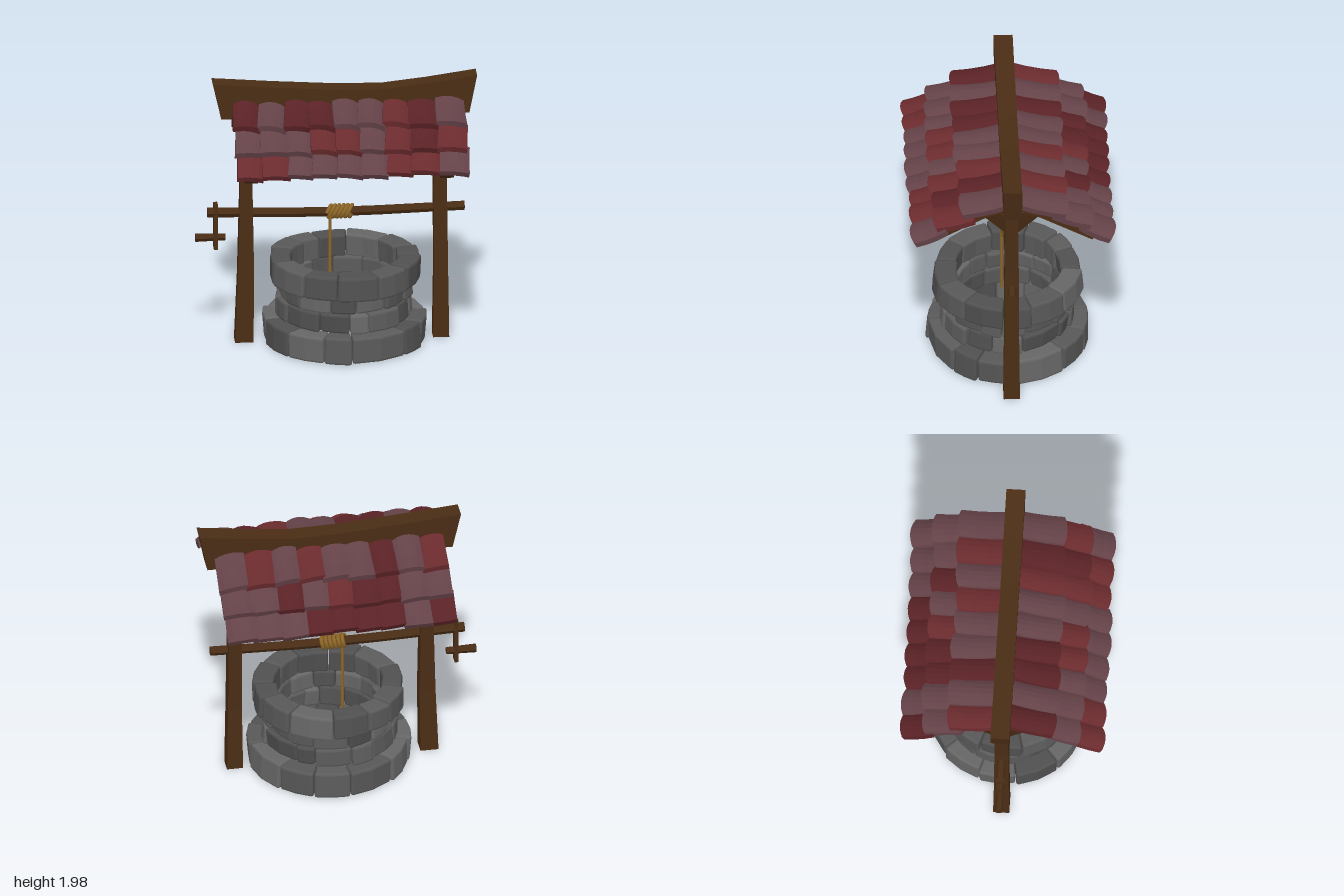
import * as THREE from 'three';

const mat = (color) => new THREE.MeshStandardMaterial({ color, flatShading: true, roughness: 0.9 });
const wood = mat(0x4a2d15), darkWood = mat(0x412612), rope = mat(0x8f6828);
rope.flatShading = false;
const stones = [0x5c5c5c, 0x666666, 0x505050, 0x585858].map(mat);
const tiles = [0x5a2226, 0x6b2b2e, 0x644248].map(mat);

let seed = 7;
const rnd = () => (seed = (seed * 16807) % 2147483647) / 2147483647;
const jit = (a) => (rnd() * 2 - 1) * a;
const pick = (list) => list[Math.floor(rnd() * list.length)];

function add(parent, name, geo, material) {
  const m = new THREE.Mesh(geo, material);
  m.name = name;
  parent.add(m);
  return m;
}

// Move every vertex of a geometry by a rule
function warp(geo, rule) {
  const p = geo.attributes.position, v = new THREE.Vector3();
  for (let i = 0; i < p.count; i++) {
    rule(v.fromBufferAttribute(p, i));
    p.setXYZ(i, v.x, v.y, v.z);
  }
  geo.computeVertexNormals();
  return geo;
}

function plank(points, depth) {
  const shape = new THREE.Shape(points.map(([a, b]) => new THREE.Vector2(a, b)));
  return new THREE.ExtrudeGeometry(shape, { depth, bevelEnabled: false }).translate(0, 0, -depth / 2);
}

// Chamfered block bent around the well's axis
function stoneBlock(a0, a1, r0, r1, y0, y1) {
  const c = 0.016, lean = jit(0.012), bulge = jit(0.01);
  const half = new THREE.Vector3((a1 - a0) * (r0 + r1) / 4, (y1 - y0) / 2, (r1 - r0) / 2);
  const inner = half.clone().subScalar(c), d = new THREE.Vector3();
  const grid = (t, h) => (Math.abs(t) > 0.49 ? Math.sign(t) * h : Math.abs(t) < 0.1 ? 0 : Math.sign(t) * (h - c));
  return warp(new THREE.BoxGeometry(1, 1, 1, 4, 4, 4), (v) => {
    v.set(grid(v.x, half.x), grid(v.y, half.y), grid(v.z, half.z));
    d.copy(v);
    v.clamp(inner.clone().negate(), inner);
    d.sub(v);
    if (d.lengthSq() > 0) v.add(d.setLength(c));
    const ang = (a0 + a1) / 2 + (v.x / half.x) * (a1 - a0) / 2;
    const r = (r0 + r1) / 2 + v.z + lean * v.x / half.x + bulge * v.y / half.y;
    v.set(Math.sin(ang) * r, (y0 + y1) / 2 + v.y, Math.cos(ang) * r);
  });
}

function buildWell() {
  const well = new THREE.Group();
  well.name = 'stoneWell';
  well.position.x = 0.06;
  // inner radius, outer radius, bottom, top, count, start angle
  const courses = [
    [0.41, 0.575, 0, 0.2, 12, 0.15],
    [0.36, 0.475, 0.195, 0.345, 13, 0.4],
    [0.365, 0.465, 0.34, 0.475, 14, 0.1],
    [0.38, 0.53, 0.46, 0.64, 12, 0.3],
  ];
  courses.forEach(([r0, r1, y0, y1, n, start], k) => {
    const cuts = [];
    for (let i = 0; i < n; i++) cuts.push(start + (i + jit(0.24)) * 2 * Math.PI / n);
    cuts.push(cuts[0] + 2 * Math.PI);
    for (let i = 0; i < n; i++) {
      const top = y1 - rnd() * 0.008, out = r1 + jit(0.012);
      add(well, 'stoneCourse' + (k + 1), stoneBlock(cuts[i] + 0.006, cuts[i + 1] - 0.006, r0 + jit(0.008), out, y0, top), pick(stones));
    }
  });
  return well;
}

// Tapered, slightly bowed post; rows are [y, centre x, width, depth]
function post(rows) {
  return warp(new THREE.BoxGeometry(1, rows.length - 1, 1, 1, rows.length - 1, 1), (v) => {
    const [y, x, w, d] = rows[Math.round(v.y + (rows.length - 1) / 2)];
    v.set(x + v.x * w, y, v.z * d);
  });
}

function buildFrame() {
  const frame = new THREE.Group();
  frame.name = 'woodenFrame';
  add(frame, 'rightPost', post([[0, -0.655, 0.13, 0.115], [0.5, -0.642, 0.115, 0.105], [1.1, -0.64, 0.09, 0.1], [1.72, -0.645, 0.1, 0.085]]), wood);
  add(frame, 'leftPost', post([[0, 0.745, 0.115, 0.115], [0.5, 0.745, 0.1, 0.105], [1.1, 0.74, 0.095, 0.1], [1.72, 0.745, 0.1, 0.085]]), wood);

  // Sagging ridge beam with flared ends
  add(frame, 'ridgeBeam', plank([[-0.82, 1.7], [0.945, 1.7], [1, 1.98], [0.65, 1.93], [0.33, 1.895], [0, 1.9], [-0.45, 1.93], [-0.88, 1.965]], 0.135), wood);

  const rafter = [[0, 1.77], [0.3, 1.655], [0.61, 1.45], [0.57, 1.4], [0.2, 1.605], [0, 1.68]];
  const brace = [[0.03, 1.47], [0.05, 1.47], [0.2, 1.615], [0.15, 1.65], [0.03, 1.545]];
  for (const x of [-0.645, 0.745]) {
    for (const s of [1, -1]) {
      const side = (pts, w) => plank(pts.map(([z, y]) => [s * z, y]), w).rotateY(-Math.PI / 2).translate(x, 0, 0);
      add(frame, 'rafter', side(rafter, 0.1), wood);
      add(frame, 'brace', side(brace, 0.07), darkWood);
    }
  }
  for (const s of [1, -1]) {
    const p = add(frame, 'eavesBeam', new THREE.BoxGeometry(1.4, 0.05, 0.06), wood);
    p.position.set(0.05, 1.46, s * 0.545);
    p.rotation.x = s * 0.5;
  }
  return frame;
}

// Arched, skewed and tapered roof tile
function tileGeometry(w, l) {
  const t = 0.042, skew = 0.02 + jit(0.015), taper = 0.05 + jit(0.05), arch = 0.026 + jit(0.006), ragged = jit(0.012);
  return warp(new THREE.BoxGeometry(w, t, l, 5, 1, 3), (v) => {
    const u = 2 * v.x / w, q = v.z / l;
    v.y += arch * (1 - u * u) - 0.014 - 0.012 * (1 - 4 * q * q);
    v.x = v.x * (1 + taper * q) - skew * q;
    v.z += q * (ragged * u - 0.03 * u * u);
  });
}

function buildRoof() {
  const roof = new THREE.Group();
  roof.name = 'tiledRoof';
  const edges = [-0.74, -0.565, -0.375, -0.205, -0.03, 0.145, 0.325, 0.505, 0.7, 0.9];
  // upper z, upper y, lower z, lower y
  const rows = [[0.03, 1.805, 0.375, 1.73], [0.28, 1.7, 0.555, 1.605], [0.48, 1.6, 0.705, 1.485]];
  for (const s of [1, -1]) {
    rows.forEach(([z0, y0, z1, y1], r) => {
      for (let c = 0; c < 9; c++) {
        const w = edges[c + 1] - edges[c] + 0.012;
        const geo = tileGeometry(w, Math.hypot(z1 - z0, y1 - y0) + 0.02);
        if (s < 0) geo.rotateY(Math.PI);
        const t = add(roof, 'roofTileRow' + (r + 1), geo, pick(tiles));
        t.position.set((edges[c] + edges[c + 1]) / 2, (y0 + y1) / 2 + jit(0.008), s * ((z0 + z1) / 2 + jit(0.012)));
        t.rotation.set(s * (Math.atan2(y0 - y1, z1 - z0) + jit(0.03)), 0, -0.1 + jit(0.06));
      }
    });
  }
  return roof;
}

function buildWinch() {
  const winch = new THREE.Group();
  winch.name = 'winch';
  // Slightly bent hexagonal axle
  const axle = new THREE.CylinderGeometry(0.033, 0.035, 1.83, 6, 6).rotateZ(-Math.PI / 2);
  add(winch, 'axle', warp(axle, (v) => { v.y += 0.965 - 0.012 * Math.cos(v.x * 2.5); }), wood);
  const arm = add(winch, 'crankArm', new THREE.BoxGeometry(0.028, 0.34, 0.065), wood);
  arm.position.set(-0.855, 0.87, 0);
  const grip = add(winch, 'crankHandle', new THREE.CylinderGeometry(0.025, 0.031, 0.215, 6).rotateZ(-Math.PI / 2), wood);
  grip.position.set(-0.8925, 0.785, 0);

  // Rope wound on the axle, with its end hanging into the well
  const turns = 6, coil = [];
  for (let i = 0; i <= turns * 12; i++) {
    const a = i / 12 * 2 * Math.PI;
    coil.push(new THREE.Vector3(-0.06 + 0.18 * i / (turns * 12) + 0.018 * Math.cos(a - 2), 0.957 + 0.042 * Math.sin(a), 0.042 * Math.cos(a)));
  }
  add(winch, 'ropeCoil', new THREE.TubeGeometry(new THREE.CatmullRomCurve3(coil), turns * 14, 0.015, 6), rope);
  const hang = add(winch, 'hangingRope', new THREE.CylinderGeometry(0.011, 0.011, 0.6, 6), rope);
  hang.position.set(-0.045, 0.66, 0.042);
  return winch;
}

export function createModel() {
  const model = new THREE.Group();
  model.name = 'wishingWell';
  model.add(buildWell(), buildFrame(), buildRoof(), buildWinch());
  return model;
}
